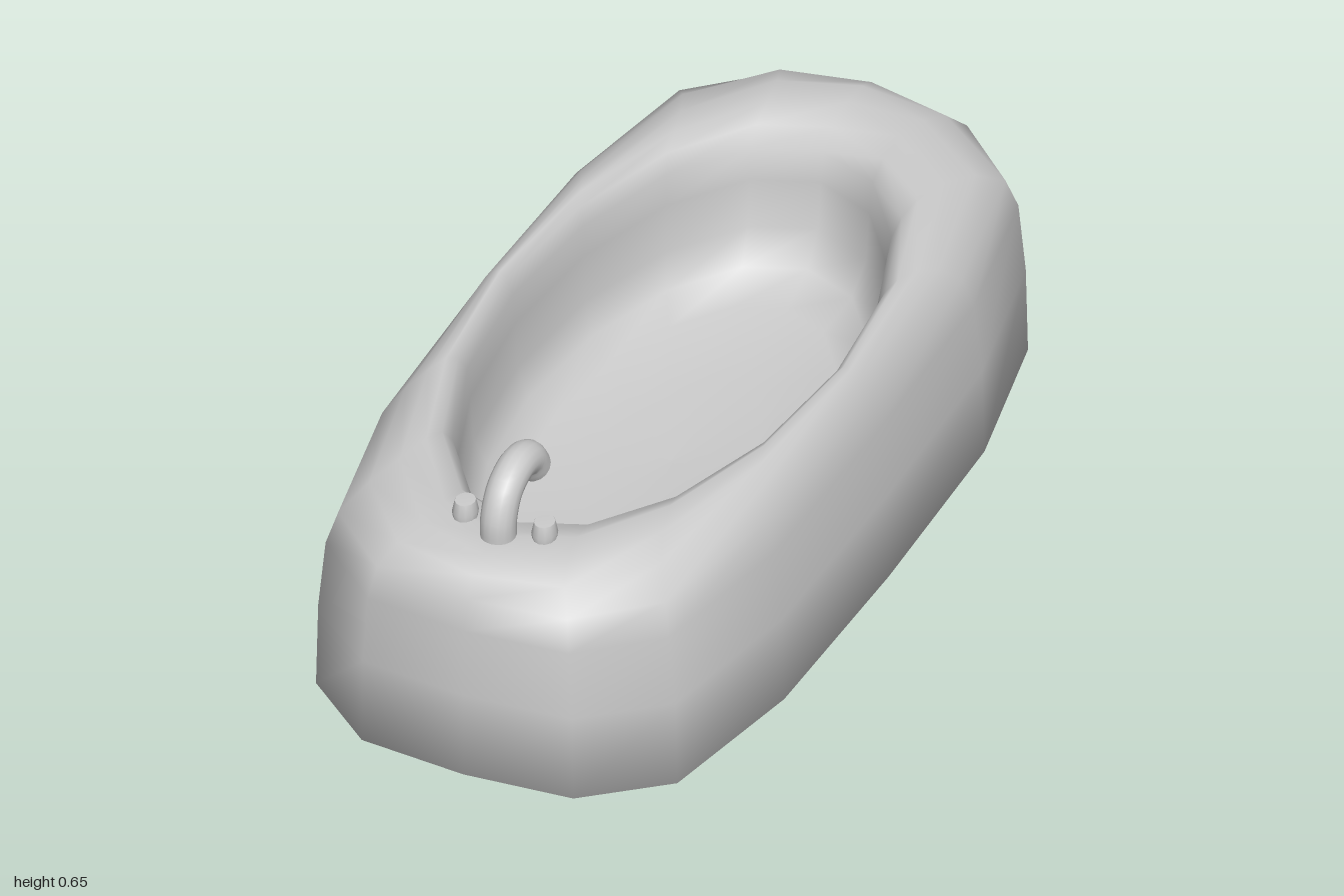
import * as THREE from 'three';

const SIDES = 16;
// Quarter of the outer plan: x and z from the front end round to the side.
const QUARTER = [[0, 1], [0.24, 0.98], [0.41, 0.84], [0.482, 0.48], [0.492, 0]];

// Oval ring, point 0 at the front, turning towards +x.
const ovalRing = (y, rx, rz) => Array.from({ length: SIDES }, (_, j) => {
  const a = (j / SIDES) * Math.PI * 2;
  return [Math.sin(a) * rx, y, Math.cos(a) * rz];
});

// Ring of the boxier outer plan, scaled and blended towards an oval by "round".
const outerRing = (y, sx, sz, round = 0) =>
  ovalRing(y, 0.492 * sx, sz).map(([ox, , oz], j) => {
    const k = j % 8;
    const [x, z] = QUARTER[k <= 4 ? k : 8 - k];
    const px = (j > 8 ? -x : x) * sx;
    const pz = (j > 4 && j < 12 ? -z : z) * sz;
    return [px + (ox - px) * round, y, pz + (oz - pz) * round];
  });

// Joins successive rings into one smooth skin.
function loft(rings) {
  const index = [];
  for (let i = 0; i < rings.length - 1; i++) {
    for (let j = 0; j < SIDES; j++) {
      const k = (j + 1) % SIDES;
      const a = i * SIDES + j, b = i * SIDES + k;
      index.push(a, b, b + SIDES, a, b + SIDES, a + SIDES);
    }
  }
  const geometry = new THREE.BufferGeometry();
  geometry.setAttribute('position', new THREE.Float32BufferAttribute(rings.flat(2), 3));
  geometry.setIndex(index);
  geometry.computeVertexNormals();
  return geometry;
}

export function createModel() {
  const group = new THREE.Group();
  group.name = 'bathtub';
  const material = new THREE.MeshStandardMaterial({ color: 0xcccccc, side: THREE.DoubleSide });
  const add = (name, geometry, x = 0, y = 0, z = 0) => {
    const mesh = new THREE.Mesh(geometry, material);
    mesh.name = name;
    mesh.position.set(x, y, z);
    group.add(mesh);
    return mesh;
  };

  // Tub: flat underside, bulging wall, rounded rim, then the oval basin
  add('tub', loft([
    outerRing(0, 0, 0),
    outerRing(0, 0.8, 0.88),
    outerRing(0, 1, 1),
    outerRing(0.2, 0.988, 1),
    outerRing(0.36, 0.95, 0.997),
    outerRing(0.43, 0.91, 0.98, 0.05),
    outerRing(0.475, 0.86, 0.955, 0.4),
    outerRing(0.495, 0.82, 0.91, 0.75),
    ovalRing(0.5, 0.39, 0.84),
    ovalRing(0.485, 0.375, 0.765),
    ovalRing(0.45, 0.361, 0.725),
    ovalRing(0.38, 0.355, 0.712),
    ovalRing(0.27, 0.35, 0.7),
    ovalRing(0.2, 0.325, 0.65),
    ovalRing(0.165, 0.27, 0.55),
    ovalRing(0.145, 0.15, 0.3),
    ovalRing(0.14, 0, 0),
  ]));

  // Spout: bent pipe with a flat end over the basin
  const path = new THREE.CatmullRomCurve3([
    [0.48, 0.832], [0.54, 0.83], [0.592, 0.802], [0.615, 0.745], [0.602, 0.693], [0.567, 0.666],
  ].map(([y, z]) => new THREE.Vector3(0, y, z)));
  add('spout', new THREE.TubeGeometry(path, 20, 0.038, 16));
  const cap = add('spoutEnd', new THREE.CircleGeometry(0.038, 16));
  cap.position.copy(path.getPoint(1));
  cap.lookAt(cap.position.clone().add(path.getTangent(1)));

  // Taps: a tapered, slightly oval knob on each side of the spout
  const profile = [[0.024, -0.01], [0.027, 0.012], [0.022, 0.037], [0.021, 0.038], [0, 0.038]]
    .map(([r, y]) => new THREE.Vector2(r, y));
  for (const [name, side] of [['leftTap', 1], ['rightTap', -1]]) {
    add(name, new THREE.LatheGeometry(profile, 12), side * 0.09, 0.5, 0.8).scale.z = 1.15;
  }
  return group;
}
